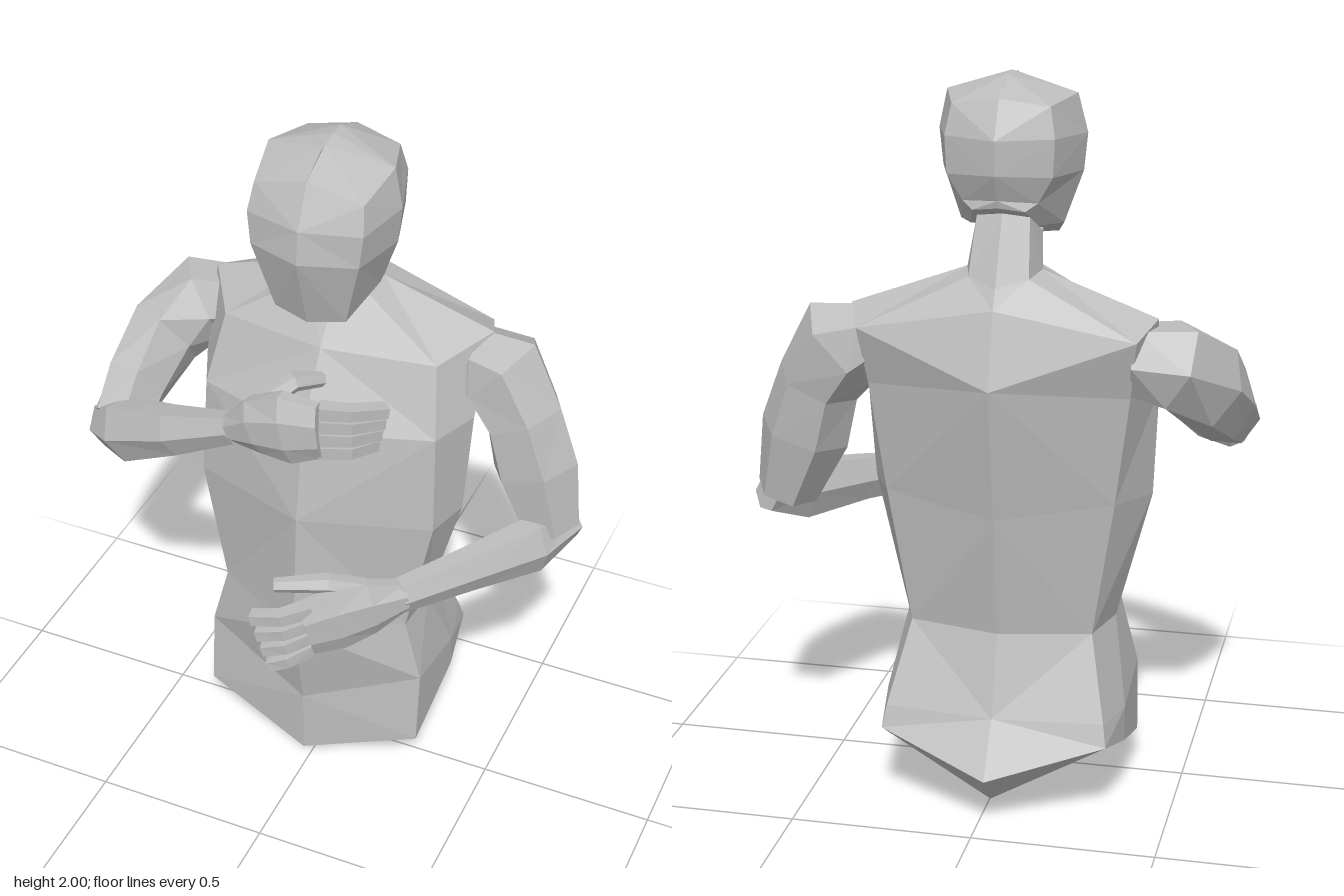
import * as THREE from 'three';

const grey = new THREE.MeshStandardMaterial({ color: 0xbcbcbc, flatShading: true });
grey.name = 'mannequin grey';
const V = (a) => new THREE.Vector3(...a);

// Skin a list of equal-length point rings into a closed faceted solid.
function loft(name, rings) {
  const tris = [];
  const add = (a, b, c) => {
    const n = b.clone().sub(a).cross(c.clone().sub(a));
    if (n.length() > 1e-9) tris.push([a, b, c]);
  };
  const n = rings[0].length;
  for (let i = 0; i < rings.length - 1; i++) {
    for (let j = 0; j < n; j++) {
      const k = (j + 1) % n;
      const [a, b, c, d] = [rings[i][j], rings[i][k], rings[i + 1][k], rings[i + 1][j]];
      // Split each quad along its shorter diagonal, so mirrored sides match
      if (a.distanceTo(c) < b.distanceTo(d)) {
        add(a, b, c);
        add(a, c, d);
      } else {
        add(a, b, d);
        add(b, c, d);
      }
    }
  }
  const cap = (ring, flip) => {
    const c = ring.reduce((s, p) => s.add(p), new THREE.Vector3()).divideScalar(n);
    for (let j = 0; j < n; j++) {
      const a = ring[j], b = ring[(j + 1) % n];
      flip ? add(c, b, a) : add(c, a, b);
    }
  };
  cap(rings[0], true);
  cap(rings[rings.length - 1], false);
  // Turn the solid outward if its signed volume is negative
  const origin = rings[0][0];
  const volume = tris.reduce((s, [a, b, c]) => s + a.clone().sub(origin)
    .dot(b.clone().sub(origin).cross(c.clone().sub(origin))), 0);
  if (volume < 0) tris.forEach((t) => t.reverse());
  const geo = new THREE.BufferGeometry().setFromPoints(tris.flat());
  geo.computeVertexNormals();
  const mesh = new THREE.Mesh(geo, grey);
  mesh.name = name;
  return mesh;
}

// Rings given as half outlines, front centre to back centre, mirrored about x = cx.
function symmetric(name, cx, rows) {
  return loft(name, rows.map((row) => {
    const half = row.map(([x, y, z]) => V([cx + x, y, z]));
    const other = row.slice(1, -1).reverse().map(([x, y, z]) => V([cx - x, y, z]));
    return [...half, ...other];
  }));
}

// Tapered limb: sections [x, y, z, half width along 'across', half depth].
function limb(name, sections, across, sides = 6) {
  const pts = sections.map((s) => V(s.slice(0, 3)));
  return loft(name, sections.map((s, i) => {
    const t = pts[Math.min(i + 1, pts.length - 1)].clone().sub(pts[Math.max(i - 1, 0)]).normalize();
    const u = V(across);
    u.addScaledVector(t, -u.dot(t)).normalize();
    const w = t.clone().cross(u);
    return Array.from({ length: sides }, (_, j) => {
      const a = ((j + 0.5) / sides) * Math.PI * 2;
      return pts[i].clone().addScaledVector(u, Math.cos(a) * s[3]).addScaledVector(w, Math.sin(a) * s[4]);
    });
  }));
}

// Palm, thumb and four fingers; each finger is a path of [x, y, z] points.
function hand(name, across, palm, thumb, fingers) {
  const g = new THREE.Group();
  g.name = name;
  g.add(limb('palm', palm, across, 8), limb('thumb', thumb, across, 6));
  fingers.forEach((path) => g.add(limb('finger',
    path.map((p, i) => [...p, 0.026 - 0.002 * i, 0.03 - 0.002 * i]), across, 4)));
  return g;
}

export function createModel() {
  const model = new THREE.Group();
  model.name = 'mannequin bust';

  model.add(symmetric('torsoAndNeck', -0.03, [
    // keel under the hips
    [[0, 0.005, 0.13], [0, 0.01, 0.02], [0, 0.025, -0.14], [0, 0.07, -0.39], [0, 0.16, -0.472]],
    [[0, 0.005, 0.13], [0.33, 0.105, 0.06], [0.335, 0.19, -0.2], [0.31, 0.24, -0.365], [0, 0.16, -0.475]],
    // hips, waist, ribs, chest, shoulders
    [[0, 0.21, 0.13], [0.33, 0.33, 0.04], [0.335, 0.29, -0.2], [0.3, 0.3, -0.345], [0, 0.3, -0.375]],
    [[0, 0.52, 0.19], [0.28, 0.52, 0.04], [0.29, 0.52, -0.1], [0.25, 0.52, -0.25], [0, 0.52, -0.305]],
    [[0, 0.9, 0.165], [0.35, 0.88, 0.03], [0.385, 0.88, -0.1], [0.31, 0.9, -0.27], [0, 0.86, -0.35]],
    [[0, 1.17, 0.12], [0.34, 1.17, 0.01], [0.4, 1.18, -0.12], [0.35, 1.2, -0.29], [0, 1.23, -0.41]],
    [[0, 1.37, 0], [0.31, 1.36, -0.06], [0.41, 1.4, -0.22], [0.37, 1.36, -0.33], [0, 1.43, -0.35]],
    // neck
    [[0, 1.49, -0.1], [0.08, 1.5, -0.12], [0.1, 1.51, -0.2], [0.08, 1.5, -0.28], [0, 1.48, -0.32]],
    [[0, 1.59, -0.05], [0.075, 1.59, -0.07], [0.09, 1.6, -0.15], [0.07, 1.65, -0.22], [0, 1.66, -0.235]],
  ]));

  model.add(symmetric('head', -0.015, [
    [[0, 1.59, -0.05], [0.07, 1.59, -0.06], [0.09, 1.61, -0.14], [0.07, 1.66, -0.21], [0, 1.67, -0.225]],
    [[0, 1.53, 0.115], [0.1, 1.545, 0.095], [0.14, 1.6, -0.04], [0.1, 1.68, -0.19], [0, 1.69, -0.23]],
    [[0, 1.74, 0.18], [0.15, 1.74, 0.13], [0.19, 1.74, -0.03], [0.14, 1.75, -0.2], [0, 1.76, -0.262]],
    [[0, 1.83, 0.168], [0.16, 1.83, 0.125], [0.2, 1.84, -0.03], [0.145, 1.85, -0.2], [0, 1.85, -0.262]],
    [[0, 1.945, 0.11], [0.15, 1.905, 0.1], [0.175, 1.945, -0.04], [0.13, 1.93, -0.18], [0, 1.95, -0.205]],
    // crown ridge
    [[0, 1.985, 0.03], [0, 1.99, 0], [0, 2, -0.05], [0, 1.998, -0.1], [0, 1.99, -0.12]],
  ]));

  // Left arm, folded low across the waist
  model.add(limb('leftUpperArm', [
    [0.33, 1.31, -0.22, 0.1, 0.09], [0.405, 1.29, -0.22, 0.125, 0.135], [0.483, 1.17, -0.2, 0.12, 0.115],
    [0.53, 1.02, -0.19, 0.115, 0.125], [0.59, 0.84, -0.175, 0.09, 0.085],
  ], [0, 0, 1]));
  model.add(limb('leftForearm', [
    [0.635, 0.84, -0.22, 0.05, 0.045], [0.57, 0.82, -0.1, 0.09, 0.06],
    [0.44, 0.81, 0.06, 0.07, 0.05], [0.3, 0.79, 0.22, 0.055, 0.04],
  ], [0, 1, 0]));
  model.add(hand('leftHand', [0, 1, 0],
    [[0.31, 0.79, 0.21, 0.05, 0.04], [0.24, 0.78, 0.28, 0.095, 0.045],
      [0.17, 0.76, 0.34, 0.11, 0.04], [0.1, 0.74, 0.39, 0.095, 0.035]],
    [[0.22, 0.835, 0.285, 0.035, 0.03], [0.14, 0.87, 0.335, 0.028, 0.03], [0.01, 0.865, 0.395, 0.02, 0.02]],
    [0, 1, 2, 3].map((i) => [[0.11, 0.81 - 0.046 * i, 0.385], [0.05 + 0.005 * i, 0.8 - 0.048 * i, 0.44],
      [-0.03 + 0.016 * i, 0.785 - 0.05 * i, 0.455]])));

  // Right arm, raised across the chest
  model.add(limb('rightUpperArm', [
    [-0.38, 1.29, -0.225, 0.1, 0.1], [-0.48, 1.28, -0.22, 0.125, 0.115], [-0.56, 1.2, -0.12, 0.125, 0.1],
    [-0.585, 1.11, 0.02, 0.115, 0.09], [-0.59, 1.04, 0.12, 0.085, 0.085],
  ], [0, 1, 0]));
  model.add(limb('rightForearm', [
    [-0.63, 1.02, 0.11, 0.07, 0.065], [-0.55, 1.05, 0.155, 0.095, 0.08],
    [-0.36, 1.145, 0.215, 0.07, 0.065], [-0.17, 1.235, 0.25, 0.045, 0.04],
  ], [0, 1, 0]));
  model.add(hand('rightHand', [0, 1, 0],
    [[-0.17, 1.235, 0.245, 0.045, 0.04], [-0.09, 1.28, 0.265, 0.085, 0.05],
      [0, 1.305, 0.275, 0.11, 0.05], [0.09, 1.315, 0.265, 0.085, 0.04]],
    [[-0.08, 1.34, 0.24, 0.035, 0.035], [-0.02, 1.39, 0.19, 0.028, 0.03], [0.03, 1.365, 0.12, 0.02, 0.02]],
    [0, 1, 2, 3].map((i) => [[0.085, 1.378 - 0.042 * i, 0.265], [0.16, 1.372 - 0.04 * i, 0.235],
      [0.235 - 0.01 * i, 1.36 - 0.038 * i, 0.17]])));

  return model;
}
